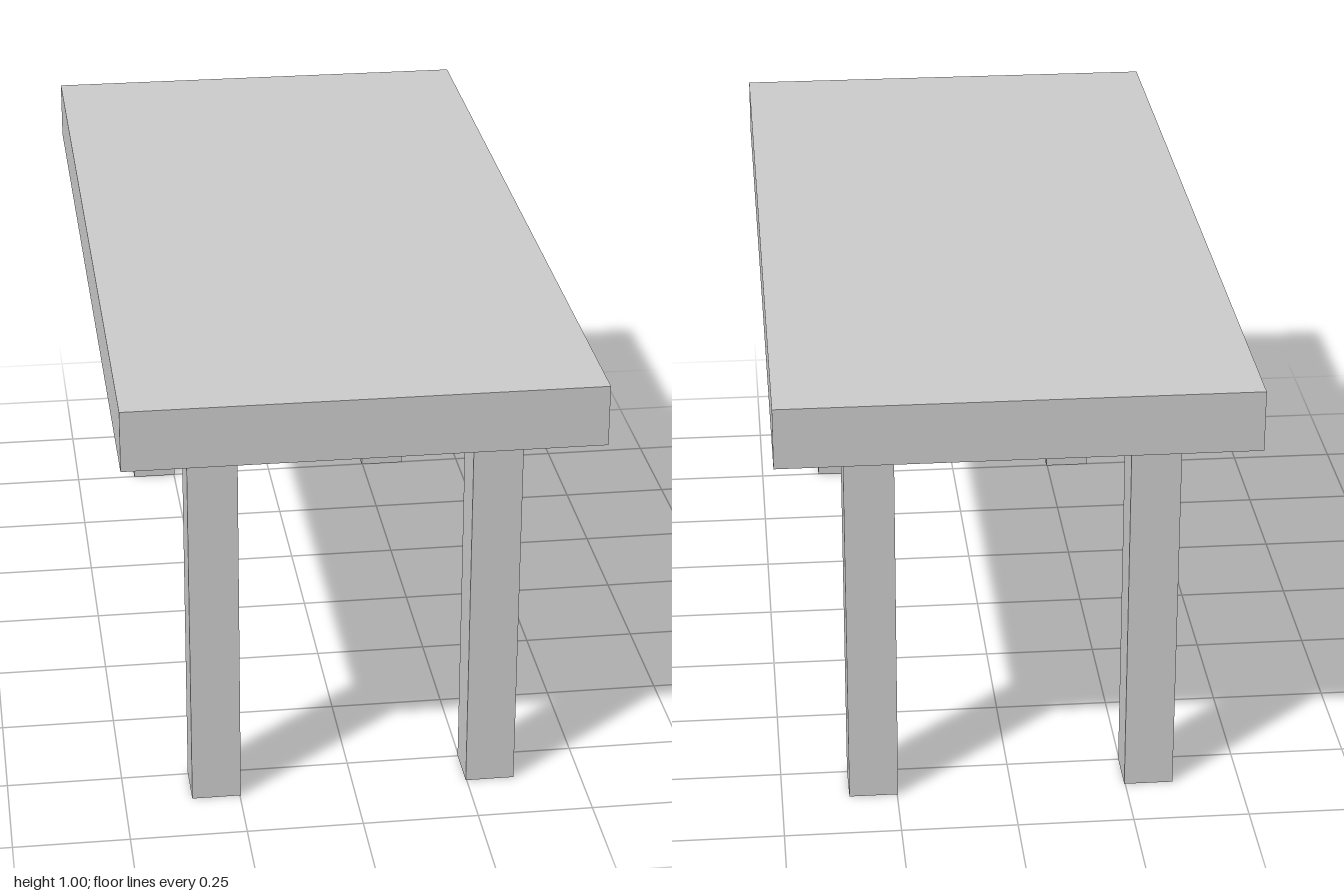
import * as THREE from 'three';

const TOP_THICKNESS = 0.132;
const LEG_HEIGHT = 1 - TOP_THICKNESS;
const LEG_WIDTH = 0.106;
const LEG_X = 0.301;
const LEG_Z = 0.801;

export function createModel() {
  const table = new THREE.Group();
  table.name = 'table';
  const material = new THREE.MeshStandardMaterial({ color: 0xcccccc });

  // Slab top
  const top = new THREE.Mesh(new THREE.BoxGeometry(1, TOP_THICKNESS, 2), material);
  top.name = 'tableTop';
  top.position.y = 1 - TOP_THICKNESS / 2;
  table.add(top);

  // Four square legs, set in from the edges
  const legGeometry = new THREE.BoxGeometry(LEG_WIDTH, LEG_HEIGHT, LEG_WIDTH);
  for (const [xName, sx] of [['Left', 1], ['Right', -1]]) {
    for (const [zName, sz] of [['front', 1], ['back', -1]]) {
      const leg = new THREE.Mesh(legGeometry, material);
      leg.name = `${zName}${xName}Leg`;
      leg.position.set(sx * LEG_X, LEG_HEIGHT / 2, sz * LEG_Z);
      table.add(leg);
    }
  }

  return table;
}
